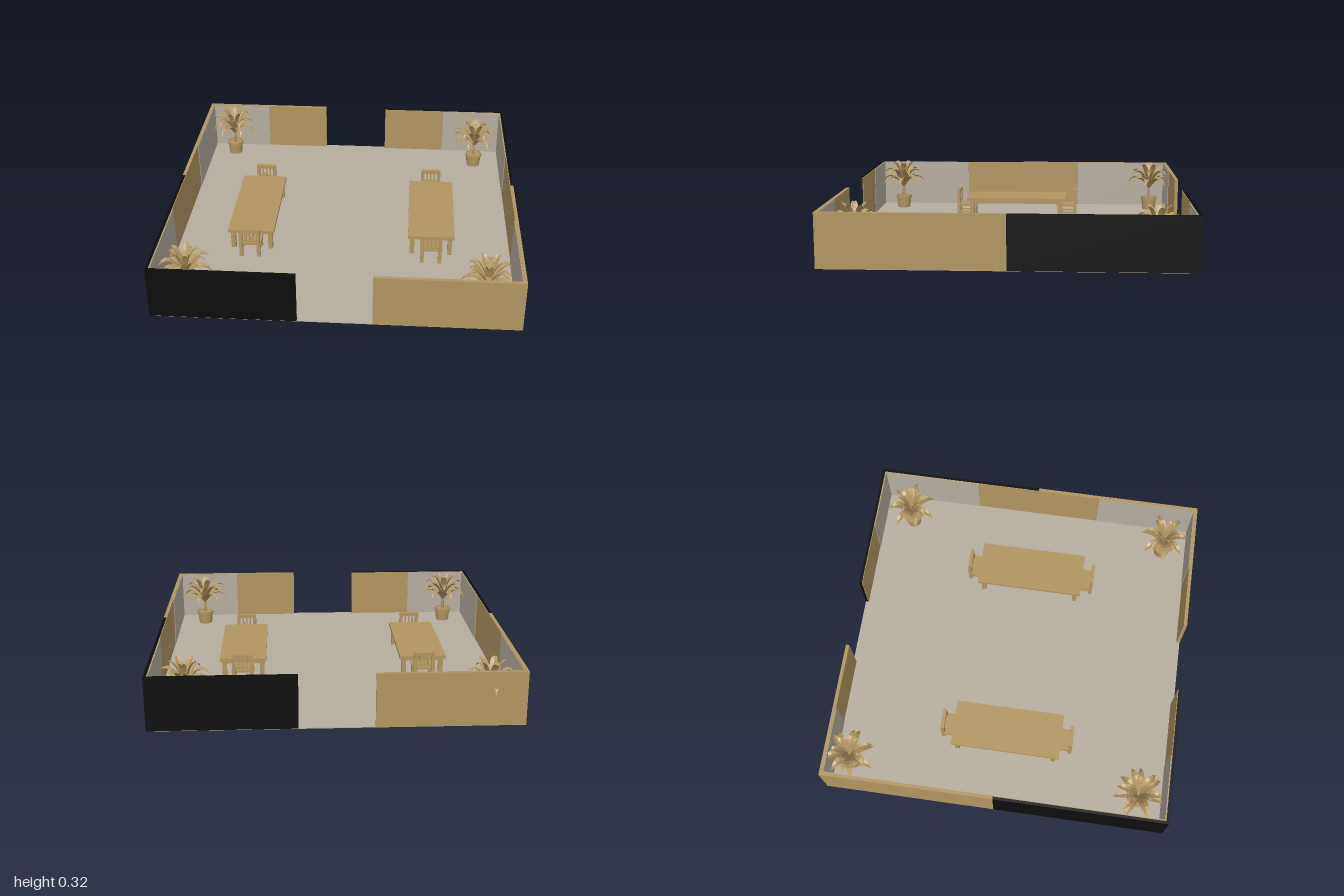
import * as THREE from 'three';

const wood = new THREE.MeshStandardMaterial({ color: 0xb09560, flatShading: true, side: THREE.DoubleSide });
wood.name = 'tan wood';
const black = new THREE.MeshStandardMaterial({ color: 0x0d0d0d });
black.name = 'black paint';
const grey = new THREE.MeshStandardMaterial({ color: 0xb5ac9e });
grey.name = 'warm grey';

// Box given by its minimum and maximum corners
function block(parent, name, mat, [x0, y0, z0], [x1, y1, z1]) {
  const m = new THREE.Mesh(new THREE.BoxGeometry(x1 - x0, y1 - y0, z1 - z0), mat);
  m.position.set((x0 + x1) / 2, (y0 + y1) / 2, (z0 + z1) / 2);
  m.name = name;
  parent.add(m);
  return m;
}

// One half of the low enclosure; the other is the same turned by 180 degrees
const W = 0.985, D = 0.9875, H = 0.303, B = 0.007, T = 0.016;
function wallHalf() {
  const g = new THREE.Group();
  g.name = 'wallHalf';
  // black painted corner
  block(g, 'blackEndWall', black, [-W, B, D - T], [-0.2, H, D]);
  block(g, 'blackSideWall', black, [-W, B, 0], [-W + T, H, D - T]);
  block(g, 'endLining', wood, [-W + T, B, D - T - 0.004], [-0.2, H - 0.002, D - T]);
  block(g, 'sideLining', wood, [-W + T, B, 0], [-W + T + 0.004, H - 0.002, D - T]);
  // tan corner
  block(g, 'tanEndWall', wood, [0.2, B, D - T - 0.004], [W, H, D]);
  block(g, 'tanSideWall', wood, [W - T - 0.004, B, 0], [W, H, D - T - 0.004]);
  // grey panels inside both corners
  const e = T + 0.004, p = 0.003;
  for (const s of [-1, 1]) {
    const a = s * (W - e), b = s * 0.59, c = s * (W - e - p);
    block(g, 'endPanel', grey, [Math.min(a, b), B, D - e - p], [Math.max(a, b), H - 0.003, D - e]);
    block(g, 'sidePanel', grey, [Math.min(a, c), B, 0.38], [Math.max(a, c), H - 0.003, D - e]);
  }
  return g;
}

function table() {
  const g = new THREE.Group();
  g.name = 'table';
  const w = 0.133, d = 0.318;
  block(g, 'tableTop', wood, [-w, 0.124, -d], [w, 0.143, d]);
  for (const x of [-1, 1]) {
    block(g, 'sideApron', wood, [x * 0.108 - 0.005, 0.106, -0.28], [x * 0.108 + 0.005, 0.124, 0.28]);
    for (const z of [-1, 1]) {
      const cx = x * 0.108, cz = z * 0.285;
      block(g, 'tableLeg', wood, [cx - 0.013, 0, cz - 0.013], [cx + 0.013, 0.124, cz + 0.013]);
    }
  }
  for (const z of [-1, 1])
    block(g, 'endApron', wood, [-0.1, 0.106, z * 0.285 - 0.005], [0.1, 0.124, z * 0.285 + 0.005]);
  return g;
}

// Chair with its back towards +z; the outer face of the back is at z = 0
function chair() {
  const g = new THREE.Group();
  g.name = 'chair';
  block(g, 'seat', wood, [-0.064, 0.08, -0.13], [0.064, 0.093, -0.015]);
  for (const s of [-1, 1]) {
    const x = s * 0.05;
    block(g, 'backPost', wood, [x - 0.01, 0, -0.02], [x + 0.01, 0.18, 0]);
    block(g, 'frontLeg', wood, [x - 0.01, 0, -0.125], [x + 0.01, 0.08, -0.105]);
    block(g, 'sideRail', wood, [x - 0.005, 0.035, -0.105], [x + 0.005, 0.045, -0.02]);
  }
  block(g, 'topRail', wood, [-0.06, 0.168, -0.021], [0.06, 0.188, 0]);
  block(g, 'lowerBackRail', wood, [-0.04, 0.105, -0.015], [0.04, 0.115, -0.005]);
  for (const x of [-0.022, 0, 0.022])
    block(g, 'backSlat', wood, [x - 0.005, 0.115, -0.014], [x + 0.005, 0.17, -0.006]);
  return g;
}

// Arching leaf with a V fold, swept from three-point cross-sections along +x
function leafGeometry(reach, rise, droop, width) {
  const pos = [], idx = [], n = 6;
  for (let i = 0; i <= n; i++) {
    const t = i / n;
    const x = 0.008 + (reach - 0.008) * Math.pow(t, 1.15);
    const y = rise * Math.sin(t * Math.PI / 2) - droop * t * t * t;
    const w = width * Math.pow(Math.sin(Math.PI * (0.06 + 0.94 * t)), 0.8) / 2;
    pos.push(x, y + w * 0.45, -w, x, y, 0, x, y + w * 0.45, w);
    if (i < n) for (const k of [0, 1]) {
      const a = i * 3 + k, b = a + 3;
      idx.push(a, a + 1, b, a + 1, b + 1, b);
    }
  }
  const geo = new THREE.BufferGeometry();
  geo.setAttribute('position', new THREE.Float32BufferAttribute(pos.map(v => v || 0), 3));
  geo.setIndex(idx);
  geo.computeVertexNormals();
  return geo;
}

function plant() {
  const g = new THREE.Group();
  g.name = 'pottedPlant';
  const profile = [[0, 0.008], [0.042, 0.008], [0.048, 0.075], [0.053, 0.075], [0.053, 0.092], [0.046, 0.092], [0.045, 0.084], [0, 0.084]];
  const pot = new THREE.Mesh(new THREE.LatheGeometry(profile.map(p => new THREE.Vector2(...p)), 16), wood);
  pot.name = 'pot';
  const trunk = new THREE.Mesh(new THREE.CylinderGeometry(0.007, 0.011, 0.115, 8), wood);
  trunk.position.y = 0.14;
  trunk.name = 'trunk';
  g.add(pot, trunk);
  // tiers: count, reach, rise, droop, width, base height, turn
  const tiers = [
    [7, 0.155, 0.10, 0.075, 0.046, 0.155, 0],
    [6, 0.142, 0.135, 0.06, 0.046, 0.17, 0.42],
    [5, 0.085, 0.14, 0.012, 0.04, 0.188, 0.2],
  ];
  for (const [count, reach, rise, droop, width, y, turn] of tiers)
    for (let i = 0; i < count; i++) {
      const k = 1 - 0.08 * ((i * 2) % 3) / 2;
      const leaf = new THREE.Mesh(leafGeometry(reach * k, rise * (0.94 + 0.06 * k), droop, width), wood);
      leaf.position.y = y;
      leaf.rotation.y = turn + i * 2 * Math.PI / count;
      leaf.name = 'leaf';
      g.add(leaf);
    }
  return g;
}

export function createModel() {
  const root = new THREE.Group();
  root.name = 'diningEnclosure';
  const midZ = 0.0125;

  block(root, 'floor', grey, [-W + 0.001, 0.005, midZ - D + 0.001], [W - 0.001, 0.01, midZ + D - 0.001]);
  for (const turn of [0, Math.PI]) {
    const half = wallHalf();
    half.rotation.y = turn;
    half.position.z = midZ;
    root.add(half);
  }

  // two tables, each with a chair at both ends
  for (const x of [-0.532, 0.508]) {
    const t = table();
    t.position.set(x, 0, 0.033);
    const front = chair(), back = chair();
    front.position.set(x, 0, 0.42);
    back.position.set(x, 0, -0.356);
    back.rotation.y = Math.PI;
    root.add(t, front, back);
  }

  // a plant in each corner
  for (const [x, z, turn] of [[-0.815, -0.847, Math.PI / 2], [0.797, -0.77, 2.6], [-0.815, 0.825, 0], [0.803, 0.825, Math.PI]]) {
    const p = plant();
    p.position.set(x, 0, z);
    p.rotation.y = turn;
    root.add(p);
  }
  return root;
}
